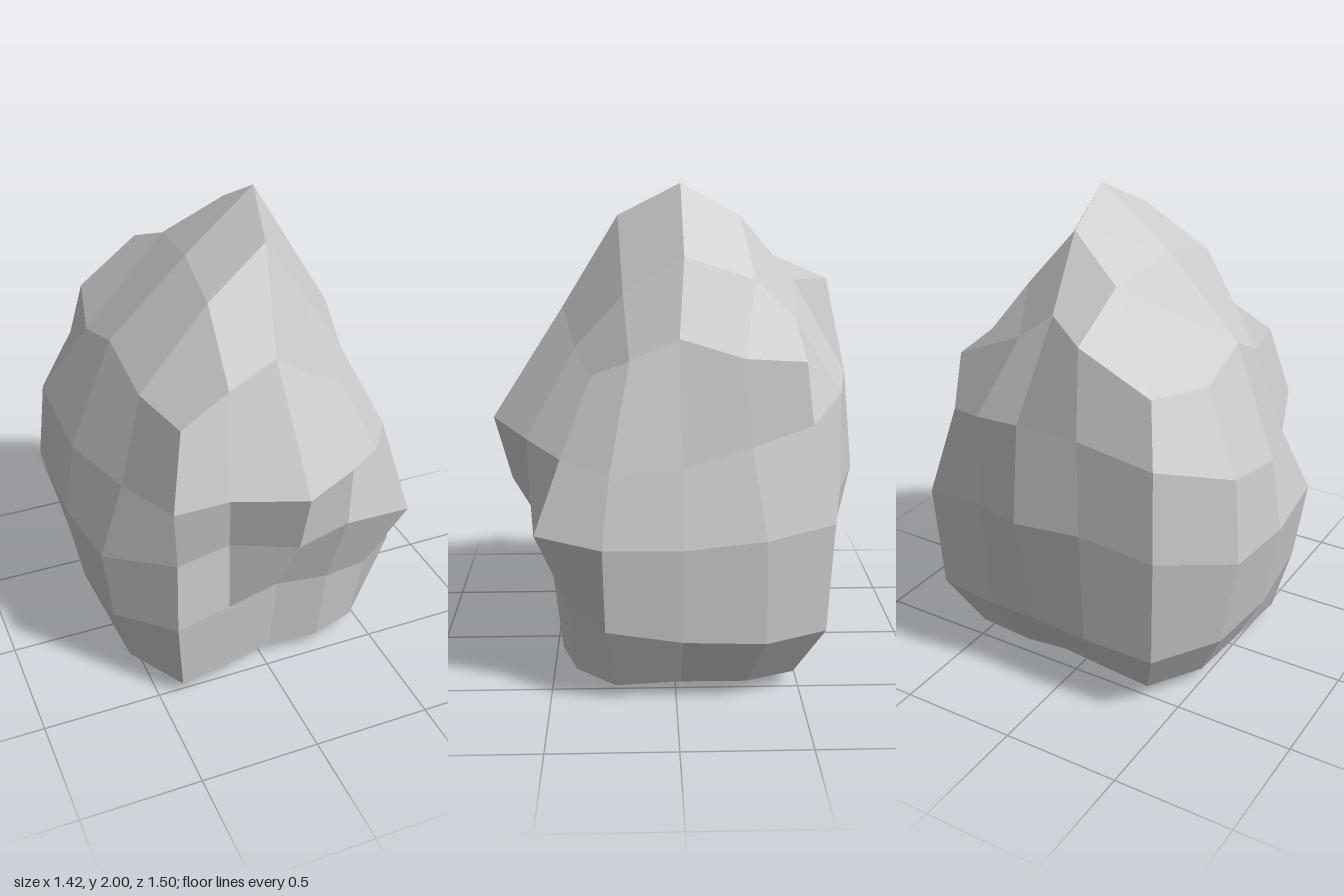
import * as THREE from 'three';

// Bearing of the 16 vertical columns, from the front (+z) towards +x
const bearings = [4, 28, 48, 68, 92, 116, 134, 154, 172, 193, 215, 239, 267, 297, 323, 340]
  .map(THREE.MathUtils.degToRad);

// Cross-sections from bottom to top: radius at each column, and a wavy height rule
const rings = [
  { // lower body
    height: (a) => 0.34 + 0.06 * Math.cos(a) + 0.04 * Math.cos(2 * a),
    radii: [0.5, 0.57, 0.65, 0.74, 0.71, 0.79, 0.85, 0.72, 0.66, 0.69, 0.8, 0.72, 0.65, 0.7, 0.72, 0.58],
  },
  { // widest part, under the ledge
    height: (a) => 0.73 - 0.03 * Math.cos(a) + 0.06 * Math.cos(2 * a),
    radii: [0.68, 0.66, 0.82, 0.76, 0.7, 0.78, 0.88, 0.75, 0.76, 0.72, 0.83, 0.83, 0.71, 0.75, 0.71, 0.58],
  },
  { // ledge
    height: (a) => 1.05 - 0.1 * Math.cos(a) + 0.08 * Math.cos(2 * a),
    radii: [0.75, 0.67, 0.67, 0.68, 0.63, 0.66, 0.76, 0.74, 0.72, 0.72, 0.82, 0.79, 0.66, 0.62, 0.74, 0.66],
  },
  { // shoulder, dipping at its four corners
    height: (a) => 1.41 - 0.06 * Math.cos(a) + 0.06 * Math.cos(2 * a) + 0.09 * Math.cos(4 * a),
    radii: [0.45, 0.45, 0.49, 0.47, 0.47, 0.6, 0.72, 0.54, 0.5, 0.68, 0.74, 0.58, 0.48, 0.5, 0.63, 0.51],
  },
];

// Eight points round the peak, from the front towards +x
const peakRing = [
  [0.08, 1.87, 0.22], [0.28, 1.58, 0.2], [0.3, 1.73, -0.04], [0.3, 1.64, -0.32],
  [0.11, 1.87, -0.27], [-0.13, 1.71, -0.36], [-0.16, 1.76, -0.01], [-0.18, 1.69, 0.28],
].map((p) => new THREE.Vector3(...p));

const polar = (a, r, y) => new THREE.Vector3(r * Math.sin(a), y, r * Math.cos(a));

function rockGeometry() {
  const positions = [];
  const normals = [];

  // One flat-shaded facet, split along its shorter diagonal
  function quad(a, b, c, d) {
    const ac = c.clone().sub(a);
    const bd = d.clone().sub(b);
    const normal = ac.clone().cross(bd).normalize();
    const corners = ac.length() < bd.length() ? [a, b, c, a, c, d] : [a, b, d, b, c, d];
    for (const v of corners) {
      positions.push(v.x, v.y, v.z);
      normals.push(normal.x, normal.y, normal.z);
    }
  }

  const body = rings.map(({ height, radii }) =>
    bearings.map((a, k) => polar(a, radii[k], height(a))));

  // The foot tapers in from the lower body, most at the back and least at corners
  const foot = bearings.map((a, k) =>
    polar(a, rings[0].radii[k] * (0.84 + 0.085 * Math.cos(a) - 0.03 * Math.cos(4 * a)), 0.065));

  // Walls between neighbouring sections
  const sections = [foot, ...body];
  for (let i = 0; i < sections.length - 1; i++) {
    const low = sections[i], high = sections[i + 1];
    for (let k = 0; k < 16; k++) {
      const n = (k + 1) % 16;
      quad(low[k], low[n], high[n], high[k]);
    }
  }

  // A 4 x 4 patch of facets closes each end, one quarter at a time
  function cap(outer, inner, centre, face) {
    for (let q = 0; q < 4; q++) {
      const o = (i) => outer[(4 * q + i) % 16];
      const n = (i) => inner[(2 * q + i) % 8];
      face(o(0), o(1), n(1), n(0));
      face(o(1), o(2), o(3), n(1));
      face(o(3), o(4), n(2), n(1));
      face(n(0), n(1), n(2), centre);
    }
  }
  cap(body[3], peakRing, new THREE.Vector3(0.135, 2, -0.03), quad);
  const baseRing = peakRing.map((_, i) => polar(i * Math.PI / 4, i % 2 ? 0.42 : 0.32, i % 2 ? 0 : 0.02));
  cap(foot, baseRing, new THREE.Vector3(0, 0.04, 0), (a, b, c, d) => quad(d, c, b, a));

  const geometry = new THREE.BufferGeometry();
  geometry.setAttribute('position', new THREE.Float32BufferAttribute(positions, 3));
  geometry.setAttribute('normal', new THREE.Float32BufferAttribute(normals, 3));
  return geometry;
}

export function createModel() {
  const group = new THREE.Group();
  group.name = 'boulder';
  // Faceted, pointed rock with a ledge across the front
  const rock = new THREE.Mesh(rockGeometry(), new THREE.MeshStandardMaterial({ color: 0xcccccc }));
  rock.name = 'rock';
  group.add(rock);
  return group;
}
